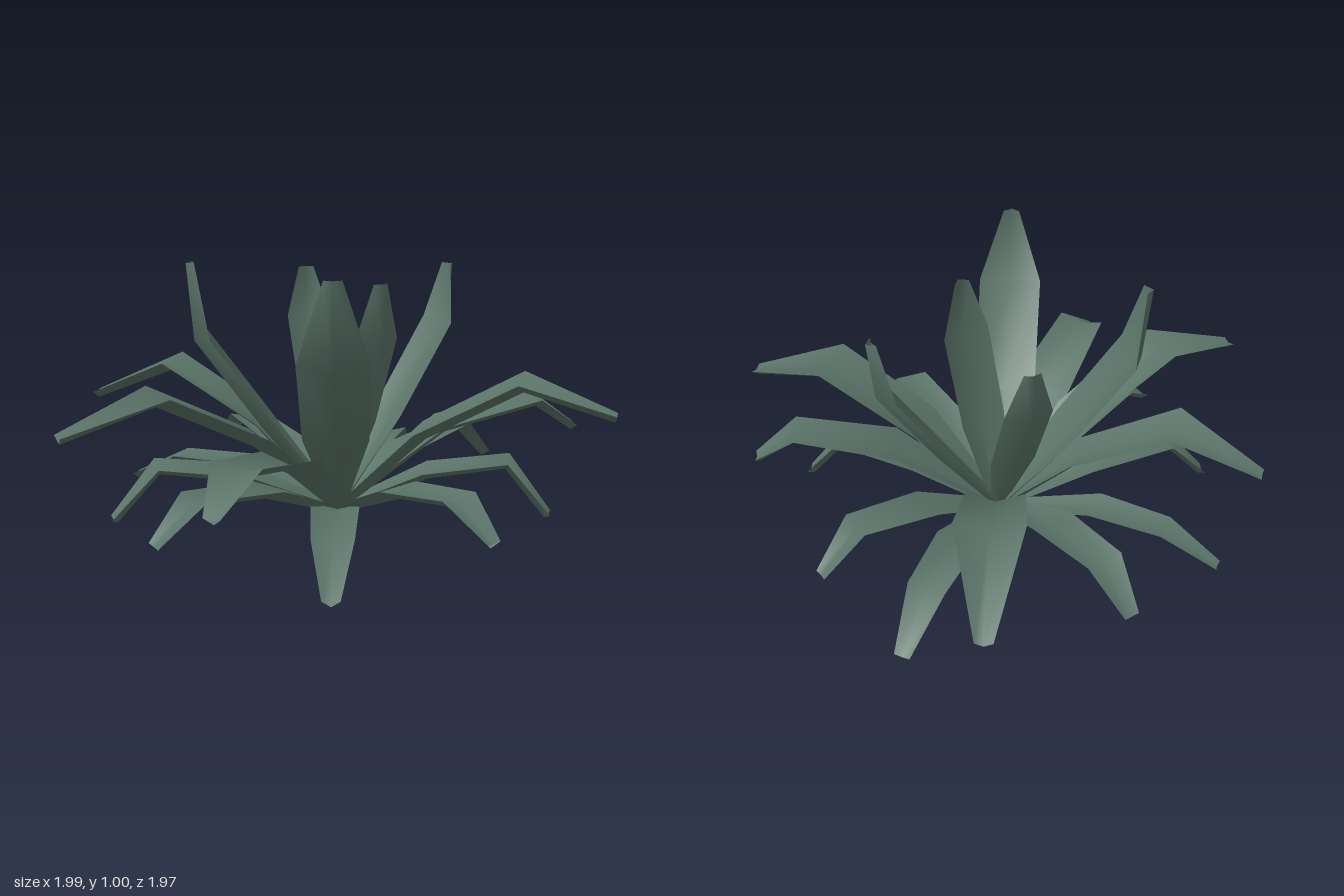
import * as THREE from 'three';

const material = new THREE.MeshStandardMaterial({ color: 0x5a7368, side: THREE.DoubleSide });
const CROWN = new THREE.Vector3(-0.02, 0.02, 0);
const UP = new THREE.Vector3(0, 1, 0);
const THICKNESS = 0.02;

// One leaf: a thin folded blade of four cross-sections from the crown to the blunt tip.
// bends = two [fraction of the way out, height, share of full width] rows.
function makeLeaf(tip, bends, width, baseY) {
  const base = CROWN.clone().setY(baseY);
  const end = new THREE.Vector3(...tip);
  const spine = [
    base,
    ...bends.map(([f, y]) => base.clone().lerp(end, f).setY(y)),
    end,
  ];
  const widths = [0.07, ...bends.map((b) => b[2] * width), Math.min(0.06, width * 0.36)];
  const out = end.clone().sub(base).setY(0).normalize();
  const side = UP.clone().cross(out);
  const positions = [], index = [];

  // Each section: three points across the upper face, then three across the lower face
  spine.forEach((p, i) => {
    const before = spine[Math.max(i - 1, 0)], after = spine[Math.min(i + 1, 3)];
    const normal = after.clone().sub(before).normalize().cross(side).normalize();
    for (const face of [0, 1]) {
      for (const s of [-1, 0, 1]) {
        const keel = s === 0 ? face * THICKNESS : 0;
        const v = p.clone()
          .addScaledVector(side, s * widths[i] / 2)
          .addScaledVector(normal, (Math.abs(s) - 0.5) * widths[i] * 0.14 - keel);
        positions.push(v.x, Math.max(v.y, 0), v.z);
      }
    }
  });
  for (let i = 0; i < 3; i++) {
    for (let j = 0; j < 2; j++) {
      const a = i * 6 + j, b = a + 6, c = a + 3, d = b + 3;
      index.push(a, b, a + 1, b, b + 1, a + 1);
      index.push(c, c + 1, d, d, c + 1, d + 1);
    }
  }
  const geometry = new THREE.BufferGeometry();
  geometry.setAttribute('position', new THREE.Float32BufferAttribute(positions, 3));
  geometry.setIndex(index);
  geometry.computeVertexNormals();
  return new THREE.Mesh(geometry, material);
}

// Whorls share a bend; each leaf is [tip x, tip y, tip z, width]
const WHORLS = [
  {
    name: 'lowLeaf', baseY: 0.02, bends: [[0.45, 0.16, 1], [0.76, 0.155, 0.85]],
    leaves: [
      [-0.06, 0.02, -0.85, 0.17], [0.3, 0.04, 0.81, 0.17], [-0.91, 0.05, 0.02, 0.14],
    ],
  },
  {
    name: 'droopingLeaf', baseY: 0.025, bends: [[0.42, 0.19, 1], [0.8, 0.245, 0.85]],
    leaves: [
      [0.36, 0.09, -0.7, 0.16], [0.7, 0.14, 0.4, 0.18], [0.76, 0.05, -0.17, 0.17],
      [-0.32, 0.13, 0.82, 0.17], [-0.69, 0.06, 0.52, 0.18], [-0.73, 0.12, -0.42, 0.17],
    ],
  },
  {
    name: 'spreadingLeaf', baseY: 0.03, bends: [[0.43, 0.34, 1], [0.83, 0.43, 0.8]],
    leaves: [[0.78, 0.32, -0.46, 0.2], [-0.02, 0.32, 0.97, 0.23]],
  },
  {
    name: 'archingLeaf', baseY: 0.03, bends: [[0.31, 0.35, 0.9], [0.67, 0.56, 1]],
    leaves: [
      [-0.44, 0.41, -0.98, 0.24], [0.99, 0.46, -0.14, 0.23],
      [-0.65, 0.47, 0.86, 0.22], [-0.99, 0.42, 0.15, 0.21],
    ],
  },
  {
    name: 'uprightLeaf', baseY: 0.04, bends: [[0.48, 0.37, 0.95], [0.94, 0.71, 0.97]],
    leaves: [
      [0.21, 1.0, 0.58, 0.25], [-0.46, 0.98, 0.28, 0.25], [-0.27, 0.9, -0.27, 0.18],
      [0.28, 0.93, -0.37, 0.2], [0.2, 0.92, 0.13, 0.2],
    ],
  },
  {
    name: 'heartLeaf', baseY: 0.05, bends: [[0.45, 0.25, 1], [0.92, 0.43, 0.9]],
    leaves: [[-0.12, 0.58, -0.06, 0.12]],
  },
];

export function createModel() {
  const plant = new THREE.Group();
  plant.name = 'rosettePlant';
  for (const { name, baseY, bends, leaves } of WHORLS) {
    const whorl = new THREE.Group();
    whorl.name = name + 'Whorl';
    leaves.forEach(([x, y, z, width], i) => {
      const leaf = makeLeaf([x, y, z], bends, width, baseY);
      leaf.name = name + (i + 1);
      whorl.add(leaf);
    });
    plant.add(whorl);
  }
  return plant;
}
